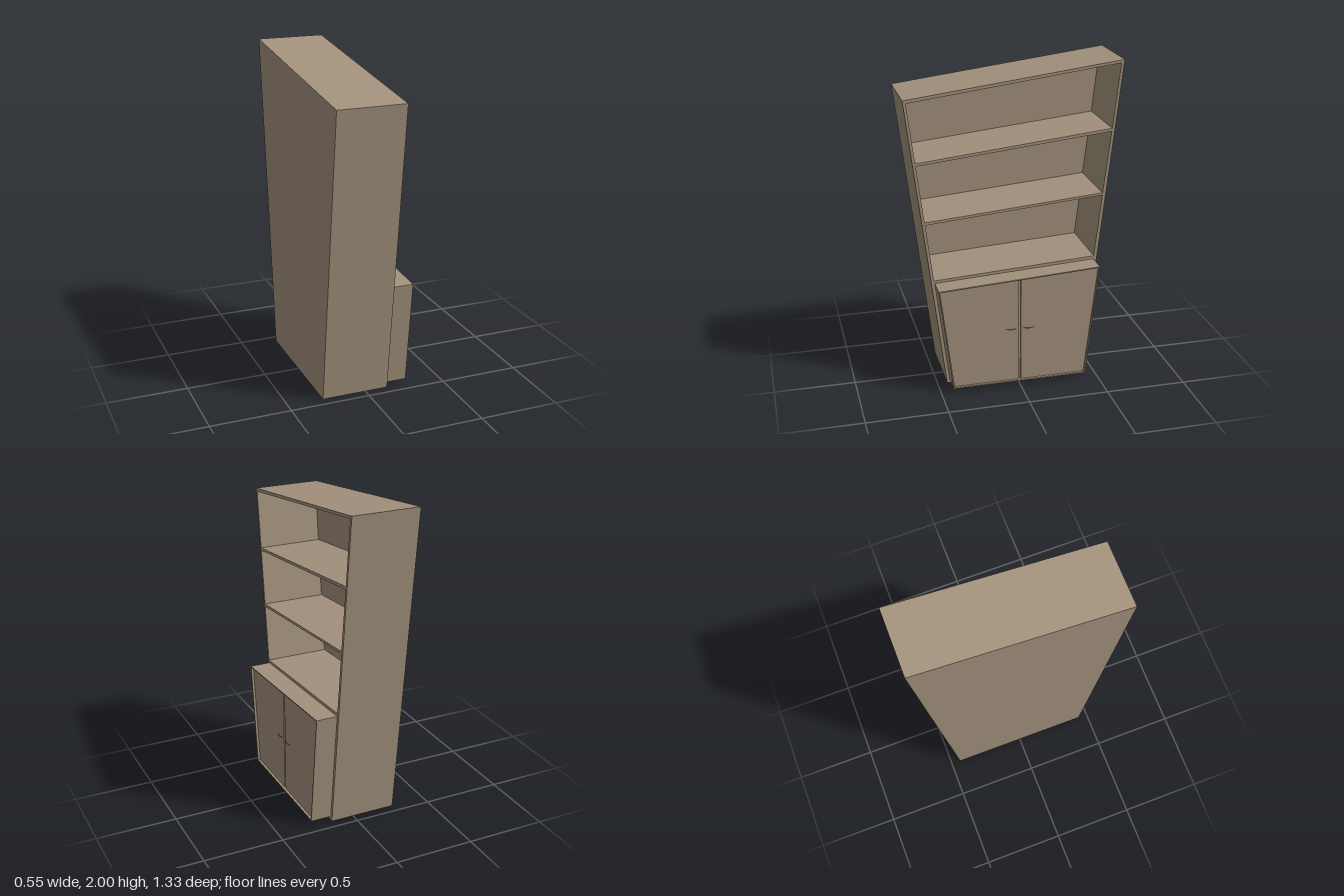
import * as THREE from 'three';

const material = new THREE.MeshStandardMaterial({ color: 0xa3927d, flatShading: true });

// Outlines are [across, height] as seen by someone facing the shelves (across = -z).
const points = (corners) => corners.map(([a, b]) => new THREE.Vector2(a, b));

// Slab with an outline and optional openings, reaching from x0 to x1.
function slab(name, outline, x0, x1, holes = []) {
  const shape = new THREE.Shape(points(outline));
  for (const hole of holes) shape.holes.push(new THREE.Path(points(hole)));
  const geometry = new THREE.ExtrudeGeometry(shape, { depth: x1 - x0, bevelEnabled: false });
  geometry.rotateY(Math.PI / 2);
  geometry.translate(x0, 0, 0);
  const mesh = new THREE.Mesh(geometry, material);
  mesh.name = name;
  return mesh;
}

export function createModel() {
  const model = new THREE.Group();
  model.name = 'crookedBookcase';

  const back = -0.277, front = 0.145, cabinetFront = 0.277, doorFace = 0.262;

  // Leaning carcass: four openings separated by slanted shelves
  const outline = [[-0.44, 0], [0.44, 0], [0.663, 2], [-0.663, 1.833]];
  const cupboard = [[-0.423, 0.025], [0.423, 0.025], [0.503, 0.748], [-0.503, 0.688]];
  const openings = [
    cupboard,
    [[-0.507, 0.705], [0.505, 0.768], [0.55, 1.165], [-0.551, 1.068]],
    [[-0.554, 1.085], [0.551, 1.18], [0.597, 1.566], [-0.597, 1.438]],
    [[-0.599, 1.455], [0.599, 1.585], [0.643, 1.98], [-0.644, 1.815]],
  ];
  model.add(slab('carcass', outline, back + 0.015, front, openings));
  model.add(slab('backPanel', outline, back, back + 0.015));

  // Protruding cupboard: thin surround, inner panel and two inset doors
  const inner = [[-0.416, 0.033], [0.416, 0.033], [0.496, 0.741], [-0.496, 0.681]];
  model.add(slab('cupboardSurround', cupboard, front - 0.01, cabinetFront, [inner]));
  model.add(slab('cupboardInnerPanel', inner, doorFace - 0.03, doorFace - 0.015));

  const gap = 0.007, topMiddle = 0.711;
  const doors = {
    leftDoor: [[-0.416, 0.033], [-gap, 0.033], [-gap, topMiddle - 0.001], [-0.496, 0.681]],
    rightDoor: [[gap, 0.033], [0.416, 0.033], [0.496, 0.741], [gap, topMiddle + 0.001]],
  };
  for (const [name, corners] of Object.entries(doors)) {
    model.add(slab(name, corners, doorFace - 0.015, doorFace));
  }

  // Small bowed handles on both sides of the gap
  for (const side of [-1, 1]) {
    const bow = new THREE.QuadraticBezierCurve3(
      new THREE.Vector3(doorFace, 0.385, side * 0.025),
      new THREE.Vector3(doorFace + 0.026, 0.385, side * 0.055),
      new THREE.Vector3(doorFace, 0.385, side * 0.085),
    );
    const handle = new THREE.Mesh(new THREE.TubeGeometry(bow, 10, 0.002, 6), material);
    handle.name = side > 0 ? 'leftHandle' : 'rightHandle';
    model.add(handle);
  }

  return model;
}
